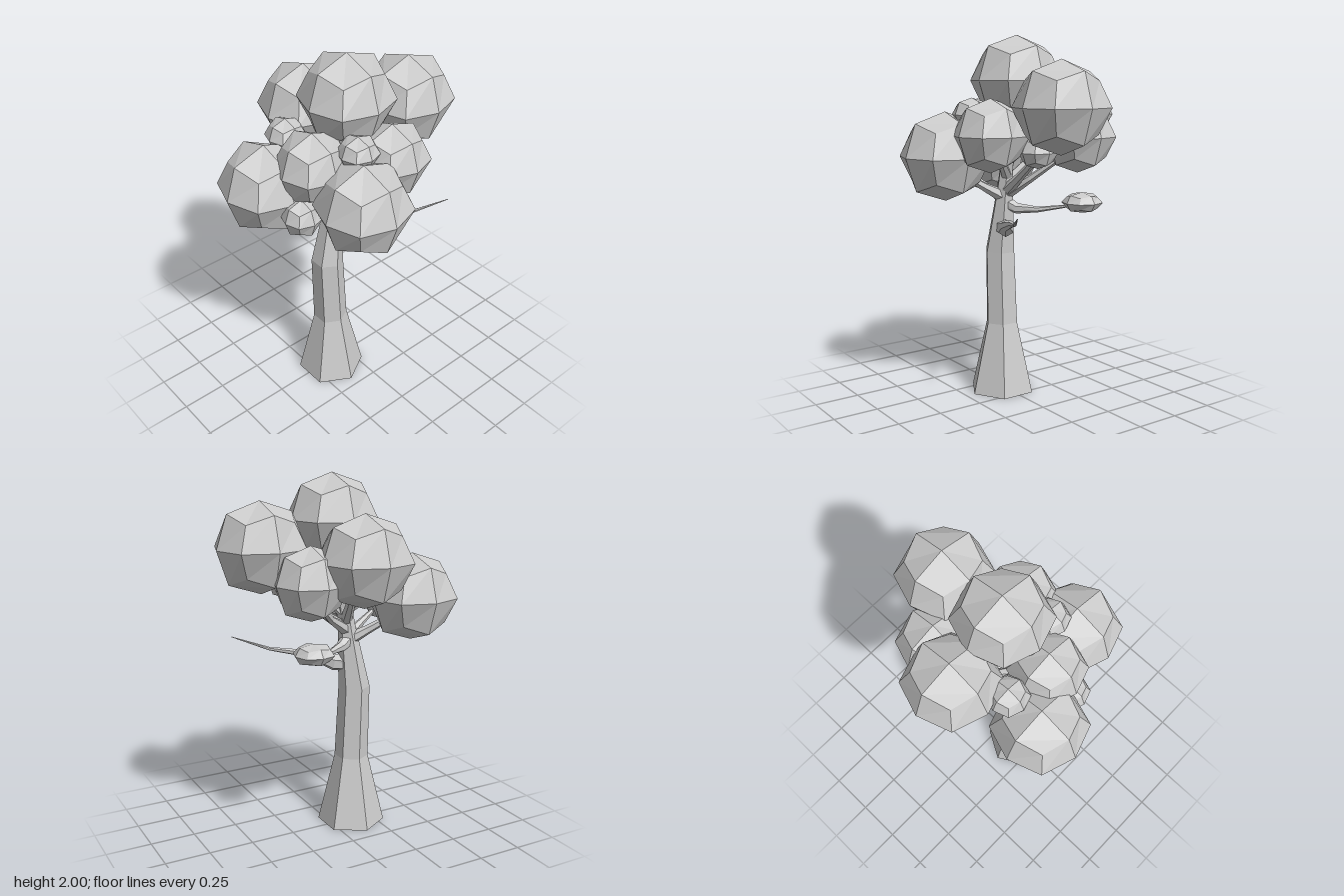
import * as THREE from 'three';

const material = new THREE.MeshStandardMaterial({ color: 0xcccccc, flatShading: true });

function addMesh(parent, name, geometry) {
  const mesh = new THREE.Mesh(geometry, material);
  mesh.name = name;
  parent.add(mesh);
  return mesh;
}

// Six-sided tapering limb through points [x, y, z, radius], closed at both ends
function limbGeometry(points, sides = 6) {
  const centres = points.map(p => new THREE.Vector3(p[0], p[1], p[2]));
  const up = new THREE.Vector3(0, 1, 0);
  const last = centres.length - 1;
  const rings = centres.map((c, i) => {
    const dir = centres[Math.min(i + 1, last)].clone().sub(centres[Math.max(i - 1, 0)]).normalize();
    const turn = new THREE.Quaternion().setFromUnitVectors(up, dir);
    return Array.from({ length: sides }, (_, k) => {
      const a = (k / sides) * Math.PI * 2;
      return new THREE.Vector3(Math.sin(a), 0, Math.cos(a))
        .multiplyScalar(points[i][3]).applyQuaternion(turn).add(c);
    });
  });
  const tris = [];
  for (let k = 0; k < sides; k++) {
    const n = (k + 1) % sides;
    for (let i = 0; i < last; i++) {
      const [a, b, c, d] = [rings[i][k], rings[i][n], rings[i + 1][n], rings[i + 1][k]];
      tris.push(a, b, c, a, c, d);
    }
    tris.push(centres[0], rings[0][n], rings[0][k]);
    tris.push(centres[last], rings[last][k], rings[last][n]);
  }
  const geometry = new THREE.BufferGeometry().setFromPoints(tris);
  geometry.computeVertexNormals();
  return geometry;
}

// Cube with each face split in four and rounded: edge midpoints and corners move inwards
function leafBallGeometry() {
  const geometry = new THREE.BoxGeometry(2, 2, 2, 2, 2, 2);
  const pos = geometry.attributes.position;
  const pull = [1, 1, 0.75, 0.5556];
  const v = new THREE.Vector3();
  for (let i = 0; i < pos.count; i++) {
    v.fromBufferAttribute(pos, i);
    const count = Math.round(Math.abs(v.x) + Math.abs(v.y) + Math.abs(v.z));
    v.multiplyScalar(pull[count]);
    pos.setXYZ(i, v.x, v.y, v.z);
  }
  geometry.computeVertexNormals();
  return geometry;
}

export function createModel() {
  const tree = new THREE.Group();
  tree.name = 'tree';

  // Trunk: flared foot, straight middle, thin leaning top
  addMesh(tree, 'trunk', limbGeometry([
    [-0.132, 0, 0.01, 0.19], [-0.132, 0.4, 0.01, 0.095], [-0.148, 0.81, 0.01, 0.088],
    [-0.1, 1.15, 0.01, 0.05], [-0.08, 1.32, 0.01, 0.035],
  ]));

  // Branches
  const branches = new THREE.Group();
  branches.name = 'branches';
  tree.add(branches);
  const paths = {
    bareBranch: [[-0.13, 0.95, 0.01, 0.045], [-0.04, 0.955, 0.045, 0.048], [0.04, 0.985, 0.1, 0.03],
      [0.15, 1.015, 0.14, 0.018], [0.28, 1.035, 0.21, 0.01], [0.46, 1.1, 0.32, 0.002]],
    lowBranch: [[-0.12, 1.1, 0.01, 0.045], [-0.04, 1.06, -0.03, 0.03], [0.06, 1.06, -0.1, 0.016],
      [0.16, 1.08, -0.19, 0.009], [0.24, 1.1, -0.25, 0.005]],
    leftBackBranch: [[-0.1, 1.08, 0.01, 0.04], [-0.2, 1.14, -0.04, 0.026], [-0.4, 1.27, -0.15, 0.012]],
    frontBranch: [[-0.1, 1.12, 0.01, 0.04], [-0.13, 1.18, 0.12, 0.025], [-0.18, 1.3, 0.32, 0.012]],
    sideBranch: [[-0.1, 1.1, 0.01, 0.035], [-0.22, 1.17, 0.05, 0.02], [-0.37, 1.25, 0.1, 0.008]],
    rightBackBranch: [[-0.08, 1.15, 0.0, 0.035], [0.04, 1.23, -0.06, 0.022], [0.23, 1.4, -0.21, 0.012]],
    rightBranch: [[-0.08, 1.16, 0.01, 0.035], [0.05, 1.25, 0.01, 0.024], [0.21, 1.36, 0.02, 0.018],
      [0.4, 1.55, 0.015, 0.01]],
    backBranch: [[-0.09, 1.2, 0.0, 0.035], [-0.05, 1.32, -0.12, 0.024], [0, 1.5, -0.33, 0.012]],
    topBranch: [[-0.08, 1.28, 0.01, 0.036], [-0.04, 1.42, 0.01, 0.028], [0, 1.7, 0, 0.014]],
    frontRightBranch: [[-0.08, 1.24, 0.01, 0.032], [0, 1.33, 0.1, 0.02], [0.09, 1.45, 0.22, 0.01]],
    upperLeftBranch: [[-0.08, 1.25, 0.01, 0.032], [-0.16, 1.35, 0.02, 0.02], [-0.25, 1.45, 0.04, 0.01]],
    upperBackTwig: [[-0.09, 1.24, 0.0, 0.025], [-0.15, 1.38, -0.09, 0.015], [-0.23, 1.52, -0.2, 0.006]],
    upperFrontTwig: [[-0.08, 1.28, 0.01, 0.025], [-0.09, 1.42, 0.1, 0.015], [-0.11, 1.57, 0.22, 0.006]],
  };
  for (const [name, path] of Object.entries(paths)) addMesh(branches, name, limbGeometry(path));

  // Foliage balls: x, y, z, radius, height radius
  const foliage = new THREE.Group();
  foliage.name = 'foliage';
  tree.add(foliage);
  const ball = leafBallGeometry();
  const balls = [
    [0, 1.76, 0, 0.24], [0.408, 1.628, 0.015, 0.24], [0, 1.576, -0.347, 0.24],
    [-0.41, 1.33, -0.156, 0.24], [-0.182, 1.357, 0.341, 0.24],
    [0.098, 1.478, 0.234, 0.193], [-0.262, 1.48, 0.048, 0.193], [0.242, 1.465, -0.228, 0.193],
    [-0.235, 1.54, -0.205, 0.105, 0.095], [-0.11, 1.58, 0.215, 0.105, 0.09],
    [-0.38, 1.26, 0.1, 0.105, 0.1], [0.22, 1.39, 0.02, 0.1, 0.085],
    [0.246, 1.108, -0.26, 0.106, 0.056],
  ];
  balls.forEach(([x, y, z, r, h = r], i) => {
    const mesh = addMesh(foliage, `leafBall${i + 1}`, ball);
    mesh.position.set(x, y, z);
    mesh.scale.set(r, h, r);
  });

  return tree;
}
